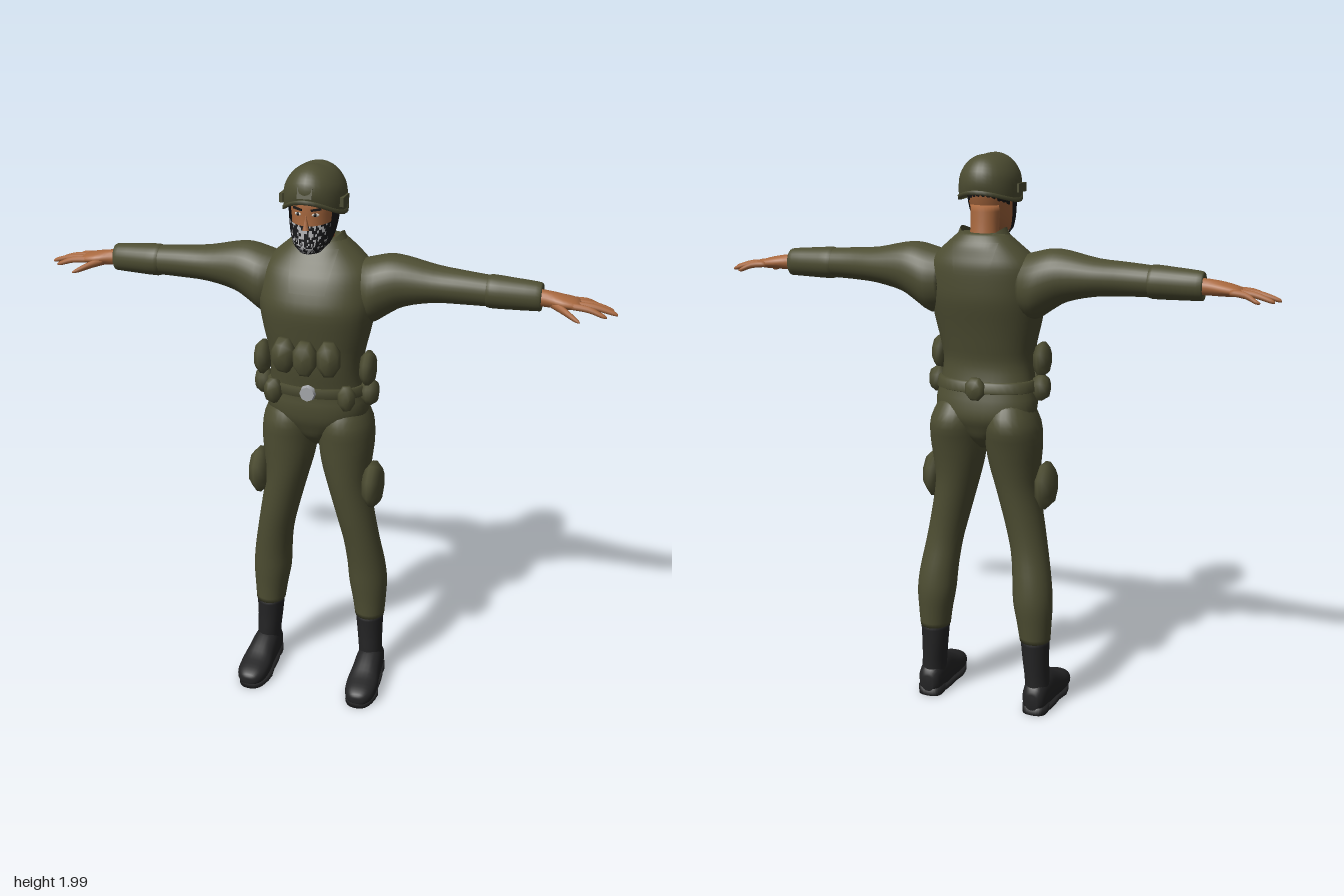
import * as THREE from 'three';

const mat = (name, color, side = THREE.FrontSide) => {
  const m = new THREE.MeshStandardMaterial({ color, side });
  m.name = name;
  return m;
};

// Catmull-Rom smoothing of a list of cross-section rows
function smooth(rows, sub) {
  const out = [];
  for (let i = 0; i < rows.length - 1; i++) {
    const [a, b, c, d] = [rows[Math.max(i - 1, 0)], rows[i], rows[i + 1], rows[Math.min(i + 2, rows.length - 1)]];
    for (let k = 0; k < sub; k++) {
      const t = k / sub;
      out.push(b.map((v, j) => v + 0.5 * t * (c[j] - a[j] + t * (2 * a[j] - 5 * v + 4 * c[j] - d[j] + t * (3 * (v - c[j]) + d[j] - a[j])))));
    }
  }
  out.push(rows[rows.length - 1]);
  return out;
}

// Skin over superellipse sections. Row: [t along axis, centre 1, centre 2, radius 1, radius 2]
function loft(axis, rows, { n = 28, p = 2, sub = 3, pad = 0, arc = null, cap = true, move = null } = {}) {
  const rings = smooth(rows, sub), pos = [], idx = [];
  const m = arc ? n + 1 : n, [a0, a1] = arc || [0, Math.PI * 2];
  const put = (t, u, v, a, r) => {
    const q = axis === 'y' ? [u, t, v] : axis === 'x' ? [t, u, v] : [u, v, t];
    if (move) move(q, a, r);
    pos.push(...q);
  };
  const pw = (v) => Math.sign(v) * Math.abs(v) ** (2 / p);
  rings.forEach(([t, c1, c2, r1, r2], i) => {
    for (let j = 0; j < m; j++) {
      const a = a0 + (a1 - a0) * j / n;
      put(t, c1 + (r1 + pad) * pw(Math.cos(a)), c2 + (r2 + pad) * pw(Math.sin(a)), a, i / (rings.length - 1));
    }
  });
  const flip = (axis === 'y') !== (rows[0][0] > rows[rows.length - 1][0]);
  const tri = (a, b, c) => (flip ? idx.push(a, c, b) : idx.push(a, b, c));
  for (let i = 0; i < rings.length - 1; i++) for (let j = 0; j < n; j++) {
    const k = (j + 1) % m, A = i * m + j, B = i * m + k, C = A + m, D = B + m;
    tri(A, B, D); tri(A, D, C);
  }
  if (cap && !arc) [0, rings.length - 1].forEach((i) => {
    const c = pos.length / 3, [t, u, v] = rings[i];
    put(t, u, v, 0, i ? 1 : 0);
    for (let j = 0; j < n; j++) {
      const A = i * m + j, B = i * m + (j + 1) % m;
      i ? tri(A, B, c) : tri(B, A, c);
    }
  });
  const g = new THREE.BufferGeometry();
  g.setAttribute('position', new THREE.Float32BufferAttribute(pos, 3));
  g.setIndex(idx);
  g.computeVertexNormals();
  return g;
}

function mirror(geo) {
  const g = geo.clone().scale(-1, 1, 1), ix = g.index.array;
  for (let i = 0; i < ix.length; i += 3) [ix[i], ix[i + 1]] = [ix[i + 1], ix[i]];
  g.computeVertexNormals();
  return g;
}

export function createModel() {
  const root = new THREE.Group();
  root.name = 'soldier';
  const olive = mat('olive cloth', 0x4d4d32, THREE.DoubleSide), skin = mat('skin', 0xa8683e);
  const boot = mat('black leather', 0x242425), hair = mat('dark hair', 0x1b1918, THREE.DoubleSide);
  const maskDark = mat('mask black', 0x19191b, THREE.DoubleSide), maskLight = mat('mask grey', 0xb4b4b6, THREE.DoubleSide);
  const steel = mat('buckle steel', 0xa6a8ac), eyeWhite = mat('eye white', 0xd8d2c8);
  const add = (name, geo, m) => {
    const o = new THREE.Mesh(geo, m);
    o.name = name;
    root.add(o);
    return o;
  };
  const pair = (name, geo, m) => { add(name + 'Left', geo, m); add(name + 'Right', mirror(geo), m); };

  // Torso and pelvis
  const torso = [
    [0.98, 0, -0.04, 0.02, 0.04], [1.02, 0, -0.04, 0.07, 0.08], [1.06, 0, -0.04, 0.13, 0.1],
    [1.1, 0, -0.04, 0.175, 0.115], [1.15, 0, -0.035, 0.183, 0.115], [1.2, 0, -0.03, 0.172, 0.108],
    [1.28, 0, -0.016, 0.163, 0.108], [1.35, 0, -0.018, 0.172, 0.117], [1.42, 0, -0.02, 0.188, 0.13],
    [1.5, 0, -0.025, 0.202, 0.144], [1.56, 0, -0.035, 0.204, 0.138], [1.62, 0, -0.048, 0.195, 0.124],
    [1.66, 0, -0.058, 0.165, 0.104], [1.7, 0, -0.065, 0.12, 0.084], [1.73, 0, -0.066, 0.085, 0.06]];
  add('torso', loft('y', torso, { n: 40, p: 2.2 }), olive);
  const dense = smooth(torso, 6);
  const torsoAt = (y) => {
    const i = Math.max(1, dense.findIndex((r) => r[0] >= y)), a = dense[i - 1], b = dense[i];
    return a.map((v, k) => v + (b[k] - v) * (y - a[0]) / (b[0] - a[0]));
  };

  // Collar flaps lying on the chest and back
  [1, -1].forEach((s) => {
    const g = new THREE.PlaneGeometry(2, 1, 12, 10), P = g.attributes.position;
    const low = s > 0 ? 1.57 : 1.6;
    for (let i = 0; i < P.count; i++) {
      const v = P.getY(i) + 0.5, y = low + (1.705 - low) * v, x = P.getX(i) * (0.062 + 0.02 * v);
      const [, , cz, rx, rz] = torsoAt(y);
      P.setXYZ(i, x * s, y, cz + s * (0.007 + rz * (1 - Math.abs(x / rx) ** 2.2) ** (1 / 2.2)));
    }
    g.computeVertexNormals();
    add(s > 0 ? 'collarFlapFront' : 'collarFlapBack', g, olive);
  });
  add('collar', loft('y', [[1.675, 0, -0.06, 0.135, 0.095], [1.71, 0, -0.062, 0.1, 0.078], [1.75, 0, -0.064, 0.08, 0.066]], {
    cap: false, move: (q, a, r) => { q[1] -= 0.035 * r * Math.sin(a) ** 2; } }), olive);

  // Sleeves with a raised cuff
  pair('sleeve', loft('x', [
    [0.14, 1.56, -0.055, 0.1, 0.085], [0.19, 1.56, -0.053, 0.114, 0.102], [0.245, 1.583, -0.055, 0.103, 0.096],
    [0.3, 1.597, -0.056, 0.085, 0.086], [0.4, 1.598, -0.055, 0.063, 0.072], [0.5, 1.597, -0.048, 0.056, 0.059],
    [0.6, 1.594, -0.046, 0.051, 0.051]]), olive);
  pair('cuff', loft('x', [
    [0.575, 1.594, -0.046, 0.05, 0.05], [0.59, 1.594, -0.046, 0.056, 0.056], [0.66, 1.592, -0.047, 0.053, 0.05],
    [0.735, 1.59, -0.049, 0.049, 0.043], [0.755, 1.588, -0.05, 0.045, 0.036], [0.75, 1.588, -0.05, 0.03, 0.028]], { sub: 2 }), olive);

  // Hands
  pair('palm', loft('x', [
    [0.72, 1.588, -0.048, 0.028, 0.028], [0.77, 1.587, -0.045, 0.027, 0.031], [0.82, 1.583, -0.043, 0.023, 0.044],
    [0.865, 1.579, -0.047, 0.016, 0.045], [0.88, 1.577, -0.048, 0.008, 0.036]], { n: 16 }), skin);
  [['indexFinger', -0.014, 0.968, -0.005], ['middleFinger', -0.037, 1.0, -0.04], ['ringFinger', -0.058, 0.985, -0.075],
    ['littleFinger', -0.08, 0.945, -0.108]].forEach(([name, z0, x, z1]) => pair(name, loft('x', [
    [0.845, 1.579, z0, 0.011, 0.012], [(0.845 + x) / 2, 1.575, (z0 + z1) / 2, 0.011, 0.011],
    [x - 0.015, 1.56, z1, 0.008, 0.008], [x, 1.555, z1, 0.003, 0.003]], { n: 10 }), skin));
  pair('thumb', loft('x', [[0.785, 1.578, -0.03, 0.014, 0.016], [0.83, 1.568, 0.004, 0.013, 0.015],
    [0.87, 1.552, 0.03, 0.009, 0.009], [0.888, 1.545, 0.038, 0.003, 0.004]], { n: 10 }), skin);

  // Trouser legs
  pair('trouserLeg', loft('y', [
    [1.16, 0.09, -0.045, 0.07, 0.08], [1.08, 0.101, -0.046, 0.096, 0.12], [1, 0.105, -0.04, 0.1, 0.111],
    [0.92, 0.107, -0.034, 0.091, 0.099], [0.83, 0.117, -0.03, 0.077, 0.088], [0.7, 0.145, -0.032, 0.07, 0.076],
    [0.6, 0.166, -0.04, 0.067, 0.07], [0.5, 0.181, -0.055, 0.07, 0.072], [0.42, 0.188, -0.062, 0.071, 0.073],
    [0.34, 0.194, -0.062, 0.062, 0.066], [0.275, 0.197, -0.06, 0.055, 0.061]]), olive);

  // Boots
  pair('bootShaft', loft('y', [[0.285, 0.197, -0.06, 0.053, 0.059], [0.2, 0.2, -0.059, 0.047, 0.056],
    [0.12, 0.205, -0.055, 0.044, 0.056], [0.05, 0.208, -0.06, 0.046, 0.054]]), boot);
  pair('bootFoot', loft('z', [
    [-0.122, 0.207, 0.05, 0.022, 0.03], [-0.1, 0.207, 0.06, 0.042, 0.055], [-0.03, 0.208, 0.067, 0.05, 0.068],
    [0.03, 0.21, 0.058, 0.053, 0.058], [0.09, 0.212, 0.045, 0.059, 0.042], [0.145, 0.213, 0.038, 0.053, 0.034],
    [0.175, 0.213, 0.034, 0.033, 0.023], [0.183, 0.213, 0.032, 0.012, 0.01]],
  { p: 2.4, move: (q) => { q[1] = Math.max(q[1], 0.014); } }), boot);
  const soleRows = [[0, 0.211, 0.035, 0.062, 0.148], [0.02, 0.211, 0.033, 0.062, 0.15]];
  const narrow = (q) => { if (q[2] < 0.04) q[0] = 0.209 + (q[0] - 0.211) * 0.84; };
  pair('bootSole', loft('y', soleRows, { sub: 1, p: 2.6, move: narrow }), boot);
  pair('bootHeel', loft('y', [[0, 0.208, -0.075, 0.046, 0.046], [0.03, 0.208, -0.075, 0.047, 0.047]], { sub: 1, p: 2.8 }), boot);

  // Belt and buckle
  const beltRows = [1.188, 1.192, 1.224, 1.228].map((y, i) => torsoAt(y).map((v, k) => (k > 2 && i % 3 ? v + 0.01 : v)));
  add('belt', loft('y', beltRows, { n: 40, p: 2.2, sub: 1 }), olive);
  add('buckle', new THREE.CylinderGeometry(0.026, 0.03, 0.016, 8).rotateX(Math.PI / 2).translate(0, 1.212, 0.095), steel);

  // Eight-sided pouches: front trio, hips, belt and thighs
  const profile = [[0, -1], [0.72, -0.9], [1, -0.25], [1, 0.25], [0.72, 0.9], [0, 1]].map(([x, y]) => new THREE.Vector2(x, y));
  const pouch = (x, y, z, w, h, d, turn) => new THREE.LatheGeometry(profile, 8).rotateY(Math.PI / 8)
    .rotateX(Math.PI / 2).scale(w, h, d).rotateY(turn).translate(x, y, z);
  const side = Math.PI / 2;
  add('chestPouchMiddle', pouch(0, 1.352, 0.123, 0.043, 0.066, 0.035, 0), olive);
  pair('chestPouch', pouch(0.079, 1.352, 0.108, 0.043, 0.066, 0.035, 0.3), olive);
  pair('hipPouch', pouch(0.19, 1.295, 0.004, 0.047, 0.063, 0.026, side), olive);
  pair('beltPouchSide', pouch(0.193, 1.2, -0.015, 0.037, 0.048, 0.03, side), olive);
  pair('beltPouchFront', pouch(0.132, 1.2, 0.07, 0.032, 0.048, 0.028, 0.6), olive);
  add('beltPouchBack', pouch(0, 1.205, -0.145, 0.037, 0.042, 0.025, 0), olive);
  pair('thighPouch', pouch(0.212, 0.845, -0.01, 0.068, 0.088, 0.034, side), olive);

  // Neck and head
  add('neck', loft('y', [[1.66, 0, -0.06, 0.058, 0.055], [1.74, 0, -0.055, 0.049, 0.047], [1.82, 0, -0.045, 0.052, 0.05]]), skin);
  const head = [
    [1.708, 0, 0.052, 0.028, 0.04], [1.735, 0, 0.042, 0.052, 0.062], [1.77, 0, 0.024, 0.065, 0.08],
    [1.82, 0, 0.01, 0.073, 0.092], [1.88, 0, 0.002, 0.078, 0.1], [1.93, 0, 0, 0.06, 0.08], [1.95, 0, 0, 0.03, 0.04]];
  add('head', loft('y', head), skin);
  add('nose', new THREE.ConeGeometry(0.013, 0.05, 8).scale(1, 1, 0.9).translate(0, 1.815, 0.105), skin);
  add('hairBack', loft('y', head.slice(2, 5), { pad: 0.004, arc: [Math.PI * 1.08, Math.PI * 1.92],
    move: (q, a, r) => { q[1] += 0.03 * (1 - r); } }), hair);

  // Eyes and brows
  pair('eye', new THREE.SphereGeometry(1, 10, 6).scale(0.013, 0.006, 0.004).rotateY(0.4).translate(0.03, 1.84, 0.0965), eyeWhite);
  pair('pupil', new THREE.SphereGeometry(1, 8, 6).scale(0.006, 0.006, 0.004).rotateY(0.4).translate(0.029, 1.84, 0.099), hair);
  pair('brow', new THREE.BoxGeometry(0.034, 0.007, 0.006).rotateZ(0.12).rotateY(0.4).translate(0.031, 1.857, 0.096), hair);

  // Speckled face mask: every cell takes one of two colours
  const cols = 48, maskGeo = loft('y', head.slice(0, 4), { n: cols, sub: 5, pad: 0.007, arc: [-0.1, Math.PI + 0.1],
    move: (q, a, r) => { q[1] -= 0.016 * r * Math.max(0, Math.sin(a)); } });
  let seed = 7;
  const rand = () => (seed = (seed * 16807) % 2147483647) / 2147483647;
  for (let c = 0; c < maskGeo.index.count / 6; c++) {
    const front = Math.sin(Math.PI * (c % cols) / cols);
    maskGeo.addGroup(c * 6, 6, rand() < 0.05 + 0.5 * front ** 3 ? 1 : 0);
  }
  add('faceMask', maskGeo, [maskDark, maskLight]);
  pair('helmetStrap', loft('y', head.slice(1, 5), { n: 8, pad: 0.009, arc: [-0.15, 0.5] }), maskDark);

  // Helmet with raised front edge, rim band and fittings
  const lift = (q, a, r) => { q[1] += (1 - r) * (0.05 * Math.max(0, Math.sin(a)) ** 2 + 0.03 * Math.max(0, -Math.sin(a)) ** 2); };
  const dome = [[1.832, 0, -0.003, 0.103, 0.12], [1.87, 0, -0.003, 0.104, 0.126], [1.915, 0, -0.003, 0.099, 0.118],
    [1.955, 0, -0.004, 0.076, 0.09], [1.978, 0, -0.005, 0.043, 0.052], [1.985, 0, -0.005, 0.008, 0.01]];
  add('helmet', loft('y', dome, { n: 36, move: lift, cap: false }), olive);
  add('helmetCrown', new THREE.CircleGeometry(0.011, 12).rotateX(-Math.PI / 2).translate(0, 1.985, -0.005), olive);
  add('helmetRim', loft('y', [[1.832, 0, -0.003, 0.096, 0.113], [1.829, 0, -0.003, 0.107, 0.125], [1.842, 0, -0.003, 0.108, 0.127],
    [1.844, 0, -0.003, 0.1, 0.12]], { n: 36, sub: 1, cap: false, move: (q, a) => lift(q, a, 0.05) }), olive);
  pair('helmetRail', new THREE.BoxGeometry(0.012, 0.03, 0.07).translate(0.103, 1.875, 0.015), olive);
  add('helmetMount', new THREE.BoxGeometry(0.05, 0.035, 0.012).rotateX(-0.25).translate(0, 1.912, 0.115), olive);
  return root;
}
